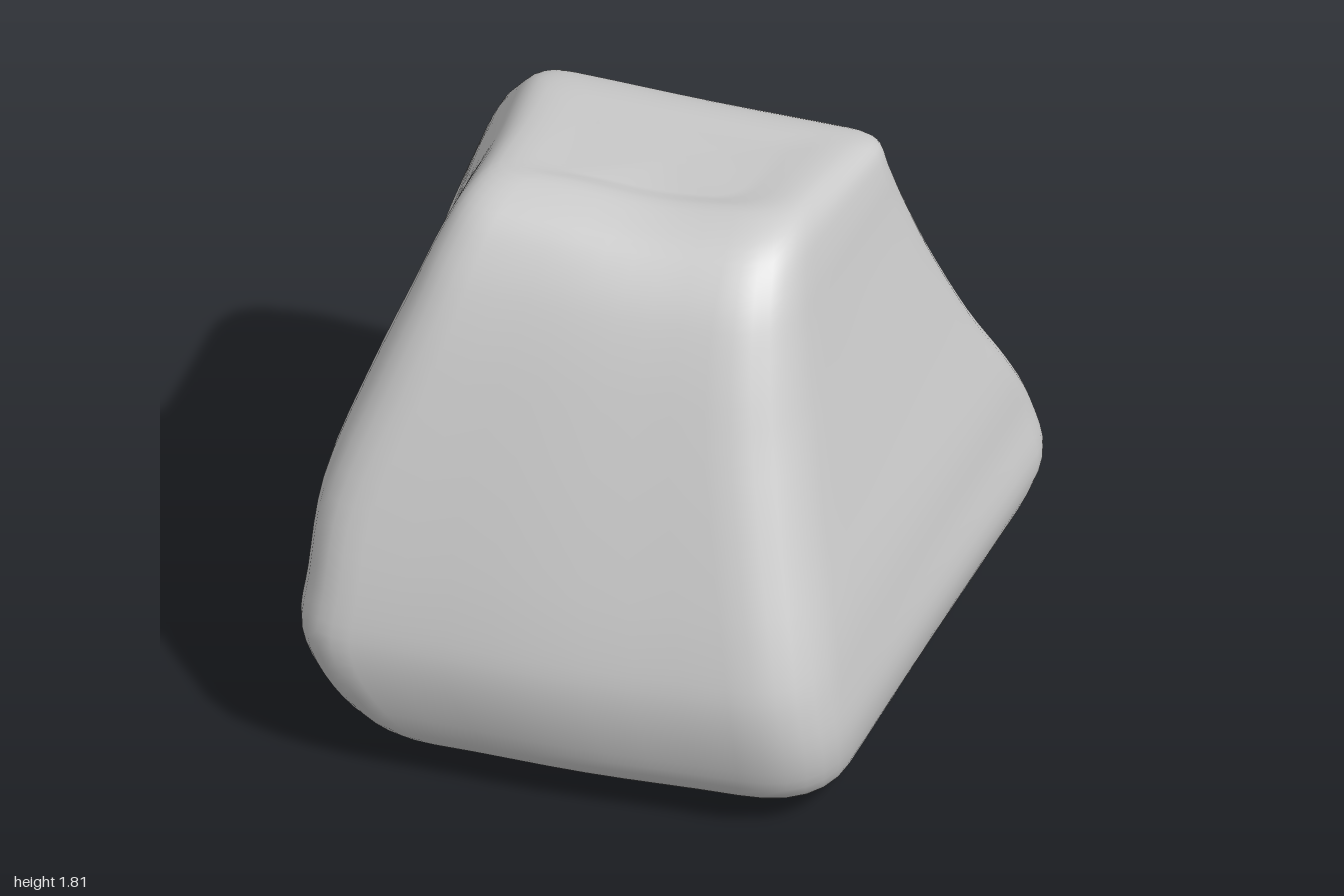
import * as THREE from 'three';

// Horizontal sections, bottom to top:
// [y, slope along z, corner rounding, then x,z of front right, back right, back left, front left]
const SECTIONS = [
  [0.02, 0.02, 0.18, 0.64, 0.64, 0.68, -0.62, -0.50, -0.60, -0.50, 0.66],
  [0.06, 0.02, 0.20, 0.71, 0.82, 0.82, -0.74, -0.61, -0.74, -0.60, 0.82],
  [0.15, 0.00, 0.20, 0.74, 0.92, 0.91, -0.84, -0.73, -0.84, -0.73, 0.92],
  [0.30, 0.00, 0.20, 0.75, 0.97, 0.97, -0.94, -0.87, -0.91, -0.86, 0.97],
  [0.48, 0.00, 0.20, 0.73, 0.98, 0.93, -0.94, -0.94, -0.98, -0.94, 0.98],
  [0.65, 0.00, 0.20, 0.70, 0.94, 0.89, -0.86, -0.94, -1.02, -0.93, 0.94],
  [0.92, 0.00, 0.20, 0.64, 0.84, 0.80, -0.72, -0.91, -0.95, -0.91, 0.84],
  [1.25, 0.00, 0.20, 0.57, 0.70, 0.70, -0.59, -0.80, -0.81, -0.80, 0.70],
  [1.50, 0.00, 0.18, 0.52, 0.58, 0.63, -0.51, -0.70, -0.68, -0.70, 0.58],
  [1.64, 0.04, 0.16, 0.49, 0.48, 0.60, -0.47, -0.63, -0.59, -0.64, 0.48],
  [1.74, 0.10, 0.14, 0.46, 0.35, 0.57, -0.46, -0.57, -0.54, -0.58, 0.37],
  [1.79, 0.15, 0.12, 0.41, 0.20, 0.48, -0.40, -0.49, -0.45, -0.50, 0.23],
  [1.785, 0.15, 0.08, 0.24, 0.10, 0.28, -0.24, -0.29, -0.27, -0.30, 0.12],
];
const ROUNDING = [1.3, 0.8, 0.8, 1];         // relative rounding of each corner
const HOLLOW = [0.001, 0.005, 0.009, -0.007]; // inward bow of right, back, left, front sides
const STEPS = 4; // rings between sections
const ARC = 6;   // segments per rounded corner
const SIDE = 8;  // segments per side

// Rounded four-cornered loop; longer sides bow more
function roundedLoop(corners, radius) {
  const points = [];
  const toward = (a, b, r) => a.clone().add(b.clone().sub(a).setLength(r));
  corners.forEach((corner, i) => {
    const j = (i + 1) % 4;
    const next = corners[j];
    const start = toward(corner, corners[(i + 3) % 4], radius * ROUNDING[i]);
    const end = toward(corner, next, radius * ROUNDING[i]);
    points.push(...new THREE.QuadraticBezierCurve3(start, corner, end).getPoints(ARC));
    const nextStart = toward(next, corner, radius * ROUNDING[j]);
    const inward = new THREE.Vector3(next.z - corner.z, 0, corner.x - next.x).normalize();
    const depth = HOLLOW[i] * corner.distanceToSquared(next);
    for (let k = 1; k < SIDE; k++) {
      const bow = depth * Math.sin(Math.PI * k / SIDE) ** 2;
      points.push(end.clone().lerp(nextStart, k / SIDE).addScaledVector(inward, bow));
    }
  });
  return points;
}

function boulderGeometry() {
  // One smooth vertical ridge per corner
  const ridges = [0, 1, 2, 3].map((c) => new THREE.CatmullRomCurve3(
    SECTIONS.map((s) => {
      const x = s[3 + c * 2], z = s[4 + c * 2];
      return new THREE.Vector3(x, s[0] + s[1] * z, z);
    })));
  const rings = [];
  const count = (SECTIONS.length - 1) * STEPS;
  for (let i = 0; i <= count; i++) {
    const k = Math.min(Math.floor(i / STEPS), SECTIONS.length - 2);
    const radius = THREE.MathUtils.lerp(SECTIONS[k][2], SECTIONS[k + 1][2], i / STEPS - k);
    rings.push(roundedLoop(ridges.map((r) => r.getPoint(i / count)), radius));
  }

  const n = rings[0].length;
  const vertices = rings.flat();
  const index = [];
  for (let i = 0; i < count; i++) {
    for (let j = 0; j < n; j++) {
      const a = i * n + j, b = i * n + (j + 1) % n;
      index.push(a, b, b + n, a, b + n, a + n);
    }
  }
  // Close the underside and the top with fans
  const middle = (ring) => ring.reduce((m, p) => m.add(p), new THREE.Vector3()).divideScalar(n);
  const bottom = vertices.push(middle(rings[0])) - 1;
  const top = vertices.push(middle(rings[count])) - 1;
  for (let j = 0; j < n; j++) {
    const next = (j + 1) % n;
    index.push(bottom, next, j, top, count * n + j, count * n + next);
  }

  // Shallow dip in the front edge of the top
  for (const v of vertices) {
    const fade = THREE.MathUtils.smoothstep(v.y, 1.4, 1.75);
    v.y -= 0.03 * fade * Math.exp(-((v.x - 0.03) ** 2 + (v.z - 0.2) ** 2) / 0.06);
  }

  const geometry = new THREE.BufferGeometry().setFromPoints(vertices);
  geometry.setIndex(index);
  geometry.computeVertexNormals();
  return geometry;
}

export function createModel() {
  const group = new THREE.Group();
  group.name = 'rock';
  const boulder = new THREE.Mesh(boulderGeometry(), new THREE.MeshStandardMaterial({ color: 0xcccccc }));
  boulder.name = 'boulder';
  group.add(boulder);
  return group;
}
